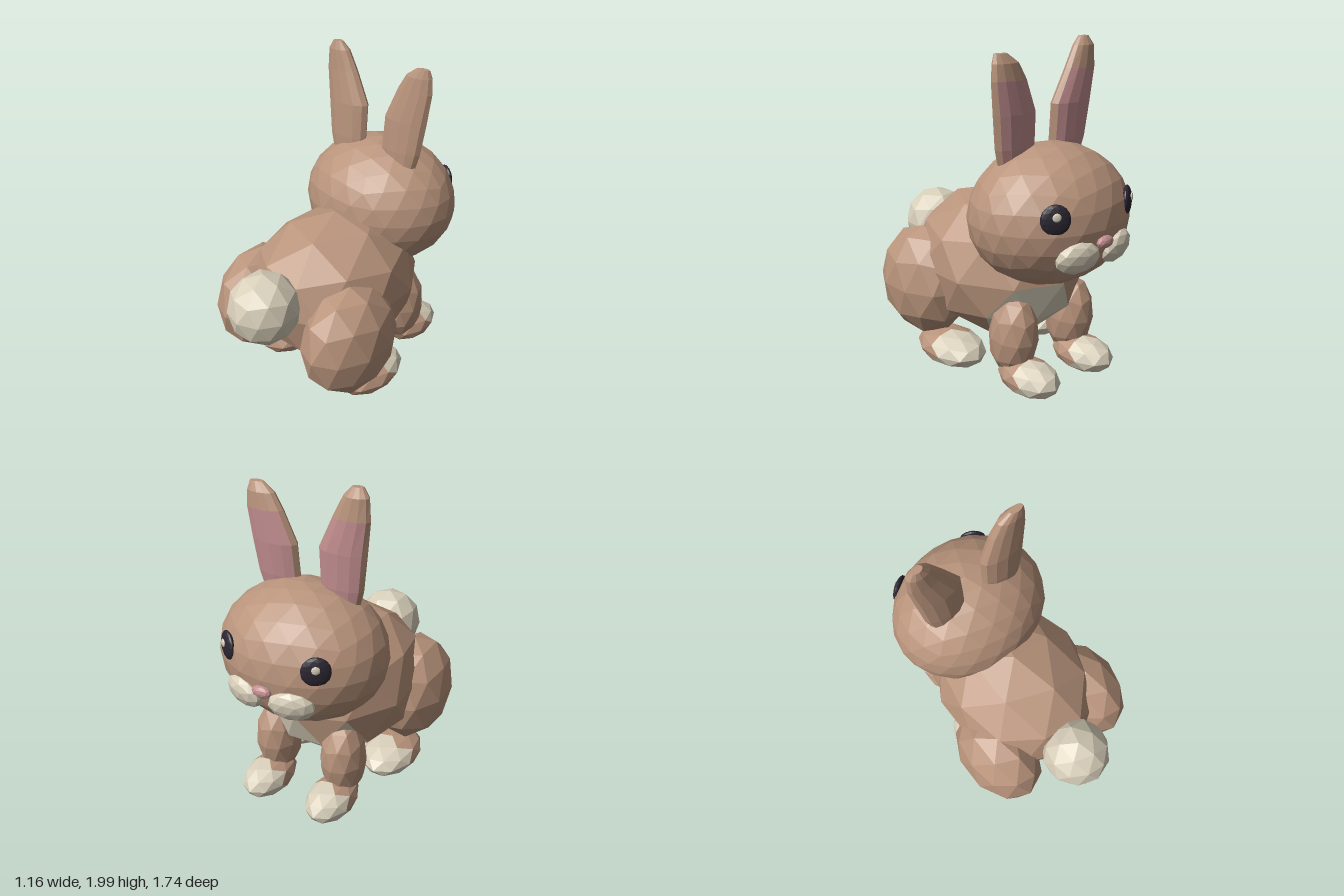
import * as THREE from 'three';

const flat = (name, color) => {
  const m = new THREE.MeshStandardMaterial({ color, flatShading: true });
  m.name = name;
  return m;
};

export function createModel() {
  const fur = flat('brownFur', 0xb9947c);
  const cream = flat('creamFur', 0xd8cfba);
  const pink = flat('pink', 0xc28e90);
  const dark = flat('eyeBlack', 0x2b2530);
  const model = new THREE.Group();
  model.name = 'rabbit';

  const add = (name, geo, mat) => {
    const mesh = new THREE.Mesh(geo, mat);
    mesh.name = name;
    model.add(mesh);
    return mesh;
  };

  // Faceted ellipsoid with a vertex at its top; test(centre) picks the faces of the second material
  function blob(name, pos, radii, detail, mat, test) {
    const geo = new THREE.IcosahedronGeometry(1, detail);
    geo.rotateZ(-Math.atan(2 / (1 + Math.sqrt(5))));
    if (test) {
      const p = geo.attributes.position;
      const c = new THREE.Vector3(), v = new THREE.Vector3();
      for (let i = 0; i < p.count; i += 3) {
        c.set(0, 0, 0);
        for (let k = 0; k < 3; k++) c.add(v.fromBufferAttribute(p, i + k));
        geo.addGroup(i, 3, test(c.divideScalar(3)) ? 1 : 0);
      }
    }
    geo.scale(...radii);
    geo.computeVertexNormals();
    const mesh = add(name, geo, mat);
    mesh.position.set(...pos);
    return mesh;
  }

  // Turns the local z axis of a mesh towards a direction
  const face = (mesh, x, y, z) => mesh.lookAt(mesh.position.clone().add(new THREE.Vector3(x, y, z)));

  // Ear lofted through flat oval rings: [y, xMin, xMax, zCentre, halfDepth]
  function ear(name, rings) {
    const n = 12, pos = [], idx = [];
    for (const [y, x0, x1, z, d] of rings) {
      for (let j = 0; j < n; j++) {
        const a = (j / n) * Math.PI * 2;
        pos.push((x0 + x1) / 2 + Math.cos(a) * (x1 - x0) / 2, y, z + Math.sin(a) * d);
      }
    }
    const geo = new THREE.BufferGeometry();
    for (let r = 0; r < rings.length - 1; r++) {
      for (let j = 0; j < n; j++) {
        const a = r * n + j, b = r * n + (j + 1) % n;
        // Pink lining on the forward faces below the tip
        const lining = r < rings.length - 3 && j >= 7 && j <= 10;
        geo.addGroup(idx.length, 6, lining ? 1 : 0);
        idx.push(a, a + n, b, b, a + n, b + n);
      }
    }
    const top = (rings.length - 1) * n;
    geo.addGroup(idx.length, (n - 2) * 3, 0);
    for (let j = 1; j < n - 1; j++) idx.push(top, top + j + 1, top + j);
    geo.setAttribute('position', new THREE.Float32BufferAttribute(pos, 3));
    geo.setIndex(idx);
    geo.computeVertexNormals();
    add(name, geo, [fur, pink]);
  }

  // Trunk with a pale chest, head and tail
  blob('body', [0, 0.64, 0.03], [0.48, 0.46, 0.58], 1, [fur, cream],
    c => c.z < -0.45 && c.y < -0.15 && c.y > -0.75 && Math.abs(c.x) < 0.55);
  blob('head', [0, 1.04, -0.42], [0.5, 0.405, 0.42], 3, fur);
  blob('tail', [0, 0.735, 0.65], [0.21, 0.22, 0.215], 1, cream);
  blob('nose', [0, 0.975, -0.84], [0.06, 0.036, 0.03], 1, pink);

  // Pale toes and soles
  const toes = c => c.z < -0.15 || c.y < -0.4;

  for (const [side, s] of [['left', 1], ['right', -1]]) {
    // Hind legs
    blob(side + 'Haunch', [0.35 * s, 0.5, 0.315], [0.242, 0.35, 0.338], 1, fur);
    blob(side + 'HindFoot', [0.325 * s, 0.115, 0.09], [0.175, 0.106, 0.262], 1, [fur, cream], toes);

    // Front legs
    blob(side + 'FrontLeg', [0.23 * s, 0.33, -0.378], [0.138, 0.255, 0.157], 1, fur).rotation.x = -0.08;
    blob(side + 'FrontPaw', [0.225 * s, 0.115, -0.505], [0.142, 0.106, 0.215], 1, [fur, cream], toes);

    // Face
    face(blob(side + 'Cheek', [0.15 * s, 0.905, -0.785], [0.132, 0.1, 0.062], 1, cream), 0.6 * s, -0.75, -2.1);
    face(blob(side + 'Eye', [0.28 * s, 1.13, -0.745], [0.082, 0.085, 0.027], 2, dark), 0.54 * s, 0.05, -0.84);
    face(blob(side + 'EyeGlint', [0.293 * s, 1.152, -0.768], [0.024, 0.024, 0.008], 1, cream), 0.54 * s, 0.05, -0.84);
  }

  // Ears, the right one a little taller
  ear('rightEar', [
    [1.3, -0.3, -0.09, -0.335, 0.05],
    [1.43, -0.335, -0.07, -0.345, 0.06],
    [1.64, -0.36, -0.068, -0.358, 0.062],
    [1.83, -0.38, -0.16, -0.368, 0.052],
    [1.95, -0.37, -0.222, -0.367, 0.042],
    [2.0, -0.335, -0.268, -0.36, 0.022],
  ]);
  ear('leftEar', [
    [1.3, 0.09, 0.3, -0.335, 0.05],
    [1.43, 0.062, 0.335, -0.345, 0.06],
    [1.62, 0.068, 0.36, -0.358, 0.062],
    [1.8, 0.145, 0.38, -0.368, 0.052],
    [1.89, 0.2, 0.374, -0.367, 0.042],
    [1.94, 0.272, 0.358, -0.36, 0.022],
  ]);

  return model;
}
